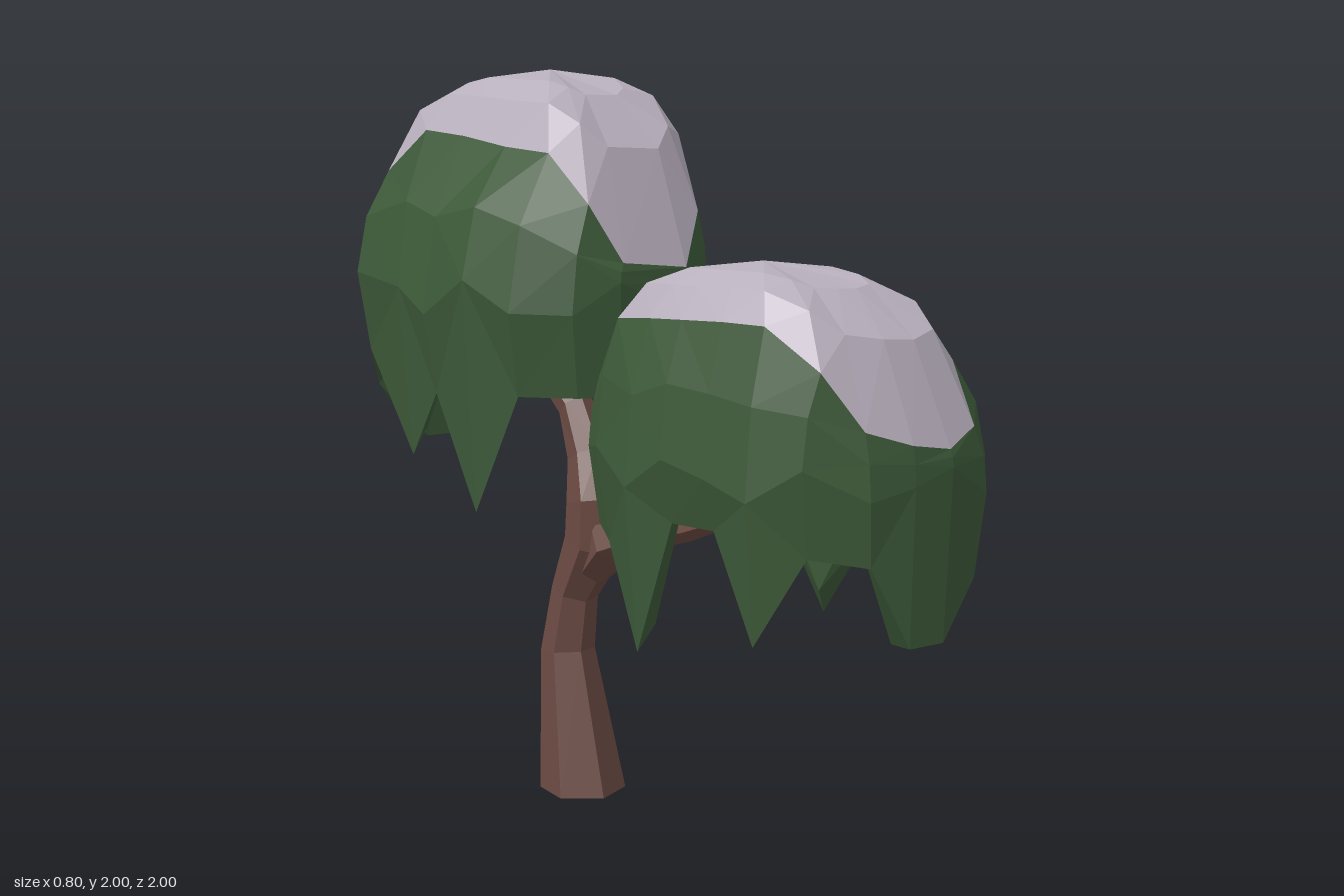
import * as THREE from 'three';

const flat = (name, color) => {
  const m = new THREE.MeshStandardMaterial({ color, flatShading: true });
  m.name = name;
  return m;
};
const V = (x, y, z) => new THREE.Vector3(x, y, z);

// Skin between successive rings of points (counter-clockwise seen from the end)
function loft(rings) {
  const pos = [];
  const tri = (a, b, c) => {
    if (a.distanceTo(b) < 1e-5 || b.distanceTo(c) < 1e-5 || c.distanceTo(a) < 1e-5) return;
    for (const p of [a, b, c]) pos.push(p.x, p.y, p.z);
  };
  for (let i = 0; i + 1 < rings.length; i++) {
    const a = rings[i], b = rings[i + 1], n = a.length;
    for (let j = 0; j < n; j++) {
      const k = (j + 1) % n;
      // Split each quad along its shorter diagonal
      if (a[j].distanceTo(b[k]) < a[k].distanceTo(b[j])) {
        tri(a[j], a[k], b[k]);
        tri(a[j], b[k], b[j]);
      } else {
        tri(a[j], a[k], b[j]);
        tri(a[k], b[k], b[j]);
      }
    }
  }
  const g = new THREE.BufferGeometry();
  g.setAttribute('position', new THREE.Float32BufferAttribute(pos, 3));
  g.computeVertexNormals();
  return g;
}

// Tapered six-sided limb along [x, y, z, radius] stations
function limb(stations, startDir) {
  const pts = stations.map(([x, y, z]) => V(x, y, z));
  const last = pts.length - 1;
  const rings = pts.map((p, i) => {
    const t = i === 0 && startDir ? startDir.clone()
      : pts[Math.min(i + 1, last)].clone().sub(pts[Math.max(i - 1, 0)]).normalize();
    const v = t.clone().cross(V(1, 0, 0)).normalize();
    const u = v.clone().cross(t);
    return Array.from({ length: 6 }, (_, j) => {
      const a = j * Math.PI / 3 + Math.PI / 12;
      return p.clone().addScaledVector(u, Math.cos(a) * stations[i][3])
        .addScaledVector(v, Math.sin(a) * stations[i][3]);
    });
  });
  const cap = p => Array(6).fill(p);
  return loft([cap(pts[0]), ...rings, cap(pts[last])]);
}

// Canopy columns: widest x, z | hem height | snow edge x, y, z
const COLUMNS = [
  [-0.10, 0.98, 0.63, -0.10, 1.13, 0.97],
  [0.02, 1.0, 0.63, 0.02, 1.11, 0.99],
  [0.17, 0.99, 0.77, 0.14, 1.15, 0.97],
  [0.27, 0.91, 0.87, 0.18, 1.30, 0.87],
  [0.325, 0.66, 0.64, 0.18, 1.40, 0.70],
  [0.345, 0.53, 0.80, 0.19, 1.39, 0.53],
  [0.36, 0.35, 0.54, 0.20, 1.37, 0.35],
  [0.34, 0.19, 0.82, 0.20, 1.36, 0.18],
  [0.24, 0.05, 0.82, 0.17, 1.25, 0.06],
  [0.12, -0.01, 0.82, 0.10, 1.12, 0.0],
  [-0.14, -0.03, 0.85, -0.12, 1.10, -0.02],
  [-0.27, 0.04, 0.83, -0.24, 1.22, 0.05],
  [-0.35, 0.15, 0.81, -0.32, 1.39, 0.20],
  [-0.40, 0.30, 0.55, -0.33, 1.40, 0.32],
  [-0.395, 0.42, 0.90, -0.33, 1.405, 0.43],
  [-0.39, 0.56, 0.90, -0.325, 1.41, 0.56],
  [-0.385, 0.69, 0.63, -0.32, 1.41, 0.69],
  [-0.33, 0.82, 0.86, -0.29, 1.31, 0.84],
  [-0.22, 0.94, 0.84, -0.22, 1.17, 0.92],
];

function canopyGeometries() {
  const cx = -0.03, cz = 0.49;
  const scaled = (sx, sz, y) => COLUMNS.map((c, i) =>
    V(cx + (c[0] - cx) * sx, y(c, i), cz + (c[1] - cz) * sz));
  const all = p => COLUMNS.map(() => p);
  const wide = scaled(1, 1, (c, i) => 1.03 + 0.05 * Math.sin(i * 2.3));
  const snowEdge = COLUMNS.map(c => V(c[3], c[4], c[5]));
  const shoulder = wide.map((w, i) => {
    const p = w.clone().lerp(snowEdge[i], 0.3);
    p.y = THREE.MathUtils.lerp(w.y, snowEdge[i].y, 0.55);
    return p;
  });
  const peak = V(-0.11, 1.54, 0.5);
  const domeRing = (t, rise) => snowEdge.map(s => {
    const p = s.clone().lerp(peak, t);
    p.y = s.y + (peak.y - s.y) * rise;
    return p;
  });
  // Hollow underside, thick ragged hem (blunt at the front), then the outer wall
  const leaves = loft([
    all(V(cx, 1.02, cz)),
    scaled(0.74, 0.78, () => 0.97),
    scaled(0.78, 0.84, (c, i) => c[2] + (i < 2 ? 0 : 0.07)),
    scaled(0.89, 0.97, c => c[2]),
    wide, shoulder, snowEdge,
  ]);
  const snow = loft([snowEdge, domeRing(0.2, 0.6), domeRing(0.5, 0.87), all(peak)]);
  return { leaves, snow };
}

export function createModel() {
  const model = new THREE.Group();
  model.name = 'snowyTree';
  const bark = flat('bark brown', 0x6b4a42);
  const green = flat('foliage green', 0x3d5a39);
  const white = flat('snow grey', 0xb8afbd);
  const add = (parent, name, geo, mat) => {
    const m = new THREE.Mesh(geo, mat);
    m.name = name;
    parent.add(m);
  };

  // Trunk bends back, swells at the fork and carries on as the high rear branch
  add(model, 'trunk', limb([
    [-0.06, 0, -0.207, 0.12], [-0.05, 0.39, -0.275, 0.076], [-0.045, 0.56, -0.25, 0.066],
    [-0.04, 0.71, -0.17, 0.088], [-0.04, 0.83, -0.165, 0.085], [-0.02, 0.95, -0.215, 0.062],
    [-0.01, 1.08, -0.28, 0.05], [0, 1.19, -0.42, 0.04], [0, 1.32, -0.62, 0.012],
  ], V(0, 1, 0)), bark);
  add(model, 'frontBranch', limb([
    [-0.04, 0.6, -0.22, 0.05], [-0.04, 0.725, -0.1, 0.08], [-0.04, 0.765, 0.02, 0.05],
    [-0.05, 0.81, 0.2, 0.038], [-0.06, 0.86, 0.34, 0.03], [-0.06, 1.0, 0.46, 0.012],
  ]), bark);
  add(model, 'frontTwig', limb([
    [-0.04, 0.79, 0.08, 0.03], [0.06, 0.85, 0.18, 0.025], [0.14, 1.0, 0.32, 0.01],
  ]), bark);
  add(model, 'rearTwig', limb([
    [0, 1.08, -0.3, 0.03], [0.1, 1.2, -0.43, 0.03], [0.17, 1.32, -0.58, 0.01],
  ]), bark);

  // The rear canopy is the front one turned round, stretched and raised
  const { leaves, snow } = canopyGeometries();
  for (const rear of [false, true]) {
    const canopy = new THREE.Group();
    canopy.name = rear ? 'rearCanopy' : 'frontCanopy';
    add(canopy, 'foliage', leaves, green);
    add(canopy, 'snowCap', snow, white);
    if (rear) {
      canopy.rotation.y = Math.PI;
      canopy.scale.y = 1.19;
      canopy.position.y = 0.167;
    }
    model.add(canopy);
  }
  return model;
}
